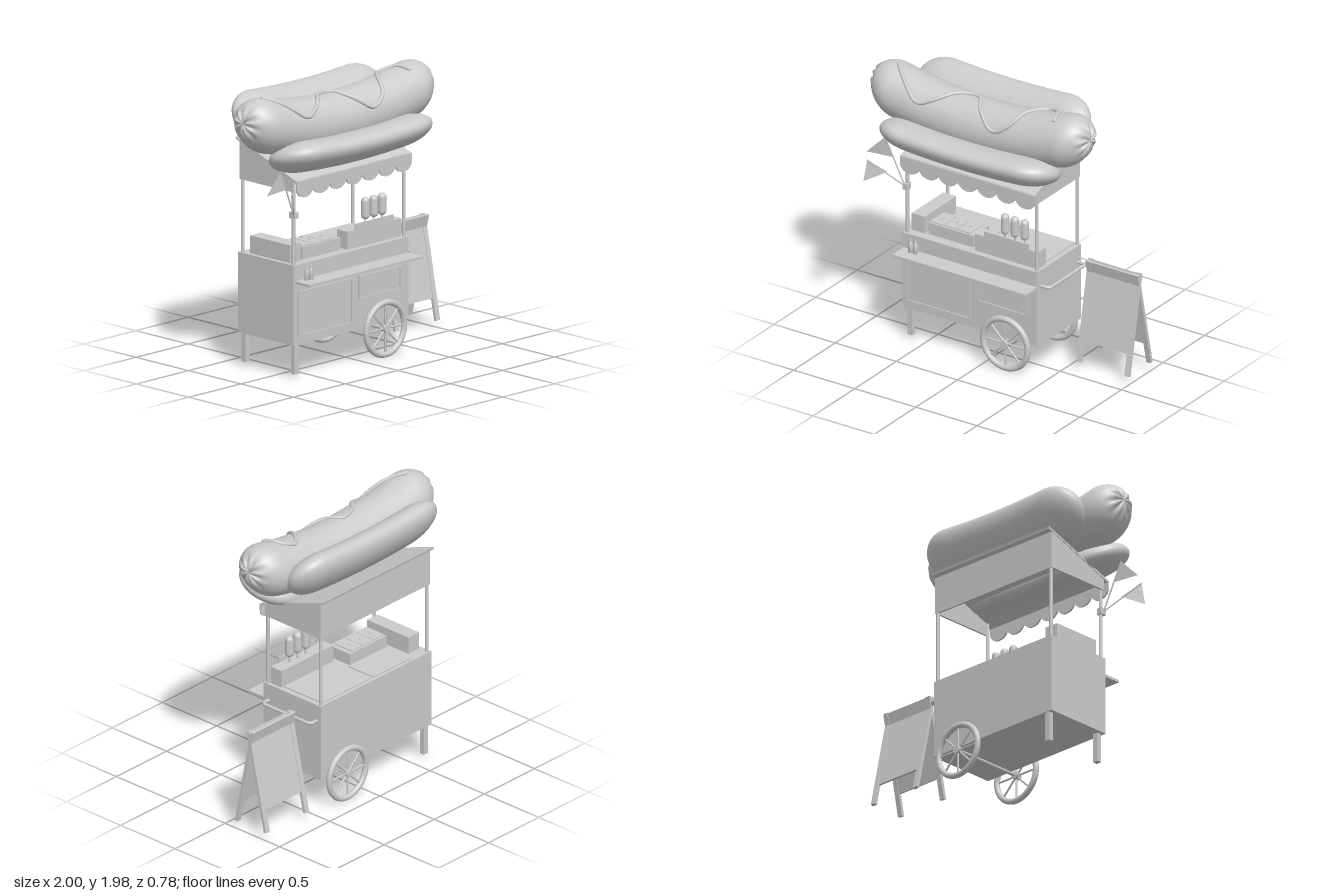
import * as THREE from 'three';
import { mergeVertices } from 'three/addons/utils/BufferGeometryUtils.js';

const grey = new THREE.MeshStandardMaterial({ color: 0xcccccc });
const thin = new THREE.MeshStandardMaterial({ color: 0xcccccc, side: THREE.DoubleSide });
const V = (x, y, z) => new THREE.Vector3(x, y, z);

export function createModel() {
  const root = new THREE.Group();
  root.name = 'hotDogCart';

  const add = (name, geo, parent = root, mat = grey) => {
    const m = new THREE.Mesh(geo, mat);
    m.name = name;
    parent.add(m);
    return m;
  };
  const group = (name) => {
    const g = new THREE.Group();
    g.name = name;
    root.add(g);
    return g;
  };
  // Box given by its min and max along each axis
  const box = (name, x0, x1, y0, y1, z0, z1, parent) => {
    const m = add(name, new THREE.BoxGeometry(x1 - x0, y1 - y0, z1 - z0), parent);
    m.position.set((x0 + x1) / 2, (y0 + y1) / 2, (z0 + z1) / 2);
    return m;
  };
  // Round bar between two points
  const rod = (name, a, b, r, parent, sides = 12) => {
    const m = add(name, new THREE.CylinderGeometry(r, r, a.distanceTo(b), sides), parent);
    m.position.copy(a).lerp(b, 0.5);
    m.quaternion.setFromUnitVectors(V(0, 1, 0), b.clone().sub(a).normalize());
    return m;
  };

  // Cart body with inset top plates
  box('cartBody', -0.67, 0.43, 0.24, 0.8, -0.355, 0.175);
  box('counterPlateLeft', -0.5, -0.12, 0.8, 0.808, -0.33, -0.1);
  box('counterPlateRight', -0.1, 0.39, 0.8, 0.808, -0.33, 0.02);

  // Framed front panels
  const frame = (name, x0, x1, y0, y1) => {
    const g = group(name), t = 0.014, z0 = 0.17, z1 = 0.188;
    box('frameBottom', x0, x1, y0, y0 + t, z0, z1, g);
    box('frameTop', x0, x1, y1 - t, y1, z0, z1, g);
    box('frameSide', x0, x0 + t, y0 + t, y1 - t, z0, z1, g);
    box('frameSide', x1 - t, x1, y0 + t, y1 - t, z0, z1, g);
    box('panel', x0 + t, x1 - t, y0 + t, y1 - t, z0, 0.179, g);
  };
  frame('frontPanelLarge', -0.635, -0.11, 0.295, 0.615);
  frame('frontPanelSmall', -0.055, 0.355, 0.45, 0.615);

  // Legs
  for (const z of [0.14, -0.33]) box('leg', -0.643, -0.603, 0.03, 0.24, z - 0.018, z + 0.018);

  // Spoked wheels and axle
  for (const z of [0.197, -0.373]) {
    const w = group('wheel');
    w.position.set(0.185, 0.207, z);
    add('tyre', new THREE.TorusGeometry(0.182, 0.021, 12, 48), w);
    rod('hub', V(0, 0, -0.022), V(0, 0, 0.022), 0.026, w, 20);
    for (let i = 0; i < 4; i++) {
      const a = i * Math.PI / 4, x = 0.17 * Math.cos(a), y = 0.17 * Math.sin(a);
      rod('spokePair', V(-x, -y, 0), V(x, y, 0), 0.007, w, 8);
    }
  }
  rod('axle', V(0.185, 0.207, -0.373), V(0.185, 0.207, 0.197), 0.012);

  // Front shelf with sauce bottles
  box('frontShelf', -0.66, 0.43, 0.672, 0.69, 0.17, 0.315);
  const bottle = [[0, 0], [0.017, 0], [0.017, 0.06], [0.008, 0.072], [0.007, 0.078], [0.003, 0.105], [0, 0.105]];
  for (const x of [-0.58, -0.54]) {
    add('sauceBottle', new THREE.LatheGeometry(bottle.map(p => new THREE.Vector2(...p)), 16))
      .position.set(x, 0.69, 0.21);
  }

  // Push handle on the end
  const handle = new THREE.CurvePath();
  const h = [V(0.43, 0.68, 0.125), V(0.465, 0.68, 0.125), V(0.495, 0.68, 0.095), V(0.495, 0.68, -0.285),
    V(0.465, 0.68, -0.315), V(0.43, 0.68, -0.315)];
  handle.add(new THREE.LineCurve3(h[0], h[1]));
  handle.add(new THREE.QuadraticBezierCurve3(h[1], V(0.495, 0.68, 0.125), h[2]));
  handle.add(new THREE.LineCurve3(h[2], h[3]));
  handle.add(new THREE.QuadraticBezierCurve3(h[3], V(0.495, 0.68, -0.315), h[4]));
  handle.add(new THREE.LineCurve3(h[4], h[5]));
  add('pushHandle', new THREE.TubeGeometry(handle, 60, 0.012, 10));

  // Counter equipment
  box('sideBox', -0.64, -0.535, 0.8, 0.925, -0.27, 0.11);
  box('grill', -0.51, -0.145, 0.8, 0.885, -0.09, 0.1);
  for (const x of [-0.475, -0.365, -0.255]) {
    box('grillLid', x - 0.03, x + 0.075, 0.885, 0.892, -0.075, 0.085);
    rod('lidKnob', V(x + 0.022, 0.892, 0), V(x + 0.022, 0.899, 0), 0.009);
  }
  box('snackStand', -0.11, 0.405, 0.8, 0.925, 0.03, 0.13);
  box('snackSign', -0.035, 0.33, 0.925, 0.965, 0.124, 0.132);
  for (const x of [0.107, 0.187, 0.267]) {
    add('snackOnStick', new THREE.CapsuleGeometry(0.03, 0.095, 8, 16)).position.set(x, 1.042, 0.085);
    rod('snackStick', V(x, 0.92, 0.085), V(x, 0.98, 0.085), 0.006);
  }

  // Roof posts
  for (const x of [-0.647, 0.41]) {
    rod('frontPost', V(x, 0.8, 0.15), V(x, 1.4, 0.15), 0.0125);
    rod('backPost', V(x, 0.8, -0.335), V(x, 1.57, -0.335), 0.0125);
  }

  // Sloped roof and hanging panels; profile is drawn as (-z, y) and extruded along x
  const sideExtrude = (name, pts, x0, x1) => {
    const shape = new THREE.Shape(pts.map(([z, y]) => new THREE.Vector2(-z, y)));
    const geo = new THREE.ExtrudeGeometry(shape, { depth: x1 - x0, bevelEnabled: false });
    geo.rotateY(Math.PI / 2);
    return add(name, geo).translateX(x0);
  };
  sideExtrude('roof', [[0.2, 1.375], [-0.375, 1.585], [-0.38, 1.603], [0.2, 1.393]], -0.67, 0.43);
  for (const x of [-0.665, 0.411]) {
    sideExtrude('roofSidePanel', [[0.165, 1.31], [-0.335, 1.31], [-0.335, 1.573], [0.165, 1.39]], x, x + 0.014);
  }
  box('roofBackPanel', -0.665, 0.425, 1.31, 1.575, -0.347, -0.333);

  // Scalloped valance
  const val = new THREE.Shape(), n = 7, step = 1.1 / n;
  val.moveTo(-0.67, 1.39);
  val.lineTo(-0.67, 1.335);
  for (let i = 0; i < n; i++) {
    val.absellipse(-0.67 + (i + 0.5) * step, 1.335, step / 2, 0.063, Math.PI, 2 * Math.PI, false, 0);
  }
  val.lineTo(0.43, 1.39);
  add('scallopedValance', new THREE.ExtrudeGeometry(val, { depth: 0.012, bevelEnabled: false, curveSegments: 12 }))
    .position.z = 0.196;

  // Bent capsule lying along x: half-length L, half-height b, half-depth a, upward bend k
  const link = (name, { L, cap, a, b, tilt, bend, y, z, wrinkle = 0 }) => {
    let geo = new THREE.CapsuleGeometry(1, 2, 20, 48, 40);
    geo.deleteAttribute('normal');
    geo.deleteAttribute('uv');
    geo = mergeVertices(geo.rotateZ(Math.PI / 2), 1e-4);
    const p = geo.attributes.position, c = Math.cos(tilt), s = Math.sin(tilt);
    for (let i = 0; i < p.count; i++) {
      const px = p.getX(i), py = p.getY(i), pz = p.getZ(i);
      const over = Math.max(Math.abs(px) - 1, 0), sign = Math.sign(px);
      let x = sign * ((L - cap) * Math.min(Math.abs(px), 1) + cap * over);
      // Radial pinches and a dimple at the tips
      const rad = Math.hypot(py, pz);
      const fold = Math.cos(9 * Math.atan2(pz, py));
      x += sign * wrinkle * (over > 0 ? Math.max(0, 1 - Math.abs(rad - 0.38) / 0.38) * fold : 0);
      if (rad < 0.15 && over > 0) x -= sign * wrinkle * 0.6;
      const ly = py * b, lz = pz * a;
      p.setXYZ(i, x - 0.12, y + ly * c - lz * s + bend * x * x, z + ly * s + lz * c);
    }
    geo.computeVertexNormals();
    return add(name, geo);
  };
  link('sausage', { L: 0.88, cap: 0.2, a: 0.193, b: 0.193, tilt: 0, bend: 0.165, y: 1.695, z: 0.012, wrinkle: 0.011 });
  link('bunFront', { L: 0.7, cap: 0.24, a: 0.23, b: 0.105, tilt: -0.35, bend: 0.08, y: 1.53, z: 0.17 });
  link('bunBack', { L: 0.7, cap: 0.24, a: 0.21, b: 0.11, tilt: 0.925, bend: 0.08, y: 1.73, z: -0.222 });

  // Sauce line following the sausage surface, points are (x, z)
  const wave = [[-0.81, 0.015], [-0.72, 0.1], [-0.56, 0.185], [-0.425, 0.145], [-0.265, 0.01], [-0.16, 0],
    [-0.08, 0.11], [0.055, 0.192], [0.19, 0.165], [0.27, 0.04], [0.375, -0.06], [0.47, -0.015], [0.515, 0.095]];
  const flat = new THREE.CatmullRomCurve3(wave.map(([x, z]) => V(x, 0, z)));
  const onTop = flat.getPoints(72).map(q => {
    const d = THREE.MathUtils.clamp(q.z - 0.012, -0.184, 0.184);
    return V(q.x, 1.695 + 0.165 * (q.x + 0.12) ** 2 + Math.sqrt(0.197 ** 2 - d * d), 0.012 + d);
  });
  add('sauceLine', new THREE.TubeGeometry(new THREE.CatmullRomCurve3(onTop), 160, 0.014, 10));
  for (const q of [onTop[0], onTop[72]]) add('sauceEnd', new THREE.SphereGeometry(0.014, 10, 8)).position.copy(q);

  // Pennants on a front post
  const flags = group('pennants');
  box('flagBracket', -0.668, -0.63, 1.125, 1.17, 0.13, 0.18, flags);
  const pennant = (tip, outer, inner) => {
    rod('flagPole', V(-0.66, 1.15, 0.165), tip, 0.005, flags, 8);
    const geo = new THREE.BufferGeometry().setFromPoints([tip, outer, inner]);
    geo.computeVertexNormals();
    add('flag', geo, flags, thin);
  };
  pennant(V(-0.805, 1.485, 0.185), V(-0.95, 1.34, 0.197), V(-0.75, 1.345, 0.178));
  pennant(V(-0.85, 1.36, 0.337), V(-0.87, 1.2, 0.353), V(-0.74, 1.265, 0.25));

  // Folding sign board: two leaning panels, each with a pair of legs
  const board = group('foldingSign');
  for (const [zFoot, zTop] of [[-0.1, -0.243], [-0.365, -0.207]]) {
    const leaf = new THREE.Group();
    leaf.name = 'signLeaf';
    board.add(leaf);
    leaf.position.set(0.785, 0.06, zFoot);
    leaf.rotation.x = Math.atan2(zTop - zFoot, 0.72);
    const len = Math.hypot(0.72, zTop - zFoot);
    for (const s of [-1, 1]) box('signLeg', s * 0.196 - 0.019, s * 0.196 + 0.019, 0, len, -0.011, 0.011, leaf);
    box('signPanel', -0.178, 0.178, 0.155, len - 0.004, -0.007, 0.007, leaf);
  }

  return root;
}
